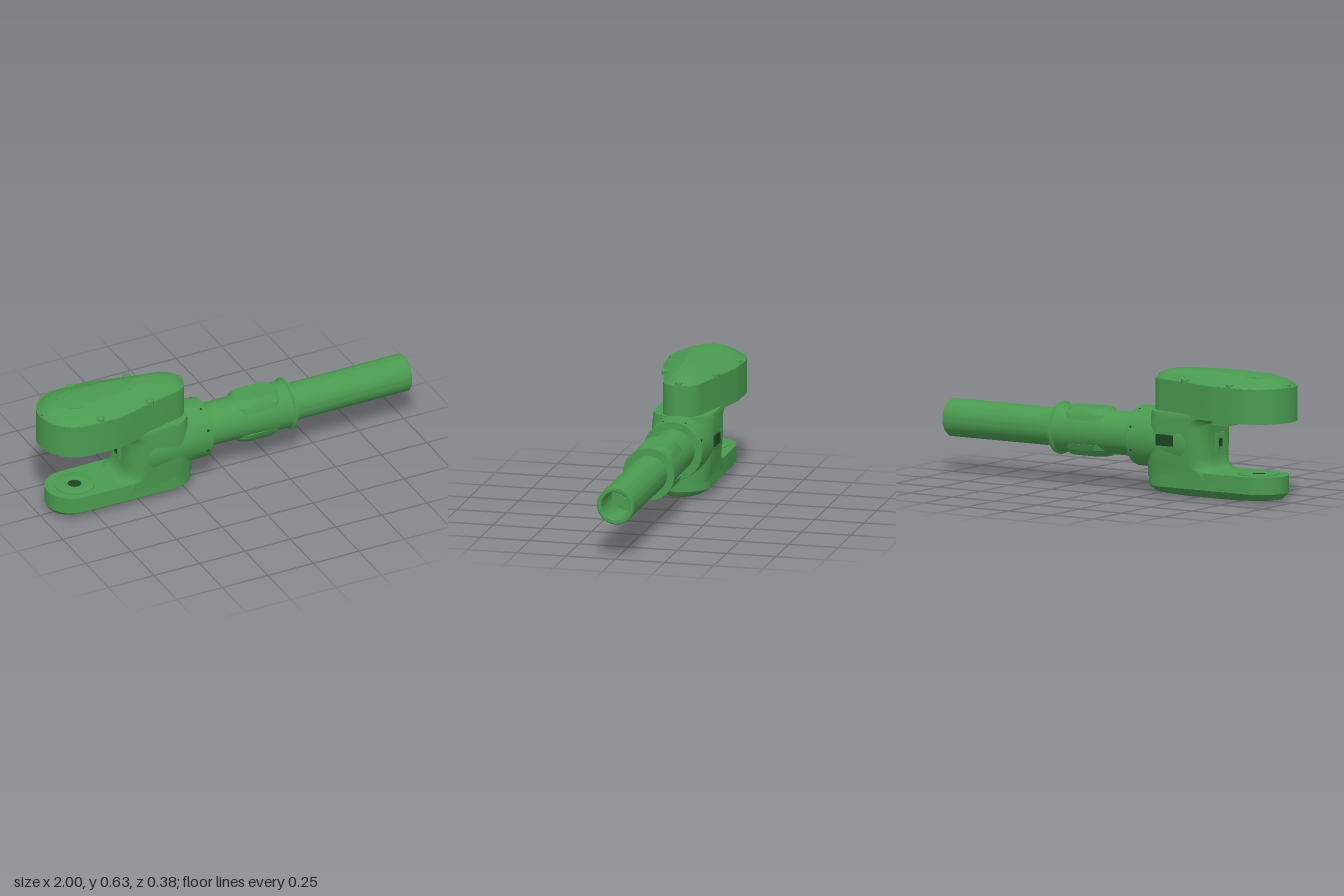
import * as THREE from 'three';
import { toCreasedNormals } from 'three/addons/utils/BufferGeometryUtils.js';

const green = new THREE.MeshStandardMaterial({ color: 0x4a9a50 });
const dark = new THREE.MeshStandardMaterial({ color: 0x1d4420 });
const AXIS_Y = 0.27; // height of the tube axis
const JOINT_X = -0.81; // position of the fork joint

// Convex plan outline around circles [x, z offset, radius], mirrored in z
function outline(circles, n = 96) {
  const pts = [];
  for (let i = 0; i < n; i++) {
    const t = ((i + 0.5) / n) * Math.PI * 2;
    const c = Math.cos(t), s = Math.sin(t);
    let best = null, top = -Infinity;
    for (const k of circles) {
      const v = k[0] * c + k[1] * Math.abs(s) + k[2];
      if (v > top) { top = v; best = k; }
    }
    pts.push([best[0] + best[2] * c, -(Math.sign(s) * best[1] + best[2] * s)]);
  }
  return pts;
}

// Scale an outline about a centre on the x axis
const scaled = (pts, cx, sx, sz) => pts.map(([x, z]) => [cx + (x - cx) * sx, z * sz]);

// Skin stacked outlines [y, points] and close both ends
function loft(levels, crease = 0.4) {
  const n = levels[0][1].length, pos = [], idx = [];
  for (const [y, pts] of levels) for (const [x, z] of pts) pos.push(x, y, z);
  for (let j = 0; j < levels.length - 1; j++) {
    for (let i = 0; i < n; i++) {
      const a = j * n + i, b = j * n + ((i + 1) % n);
      idx.push(a, b, b + n, a, b + n, a + n);
    }
  }
  [0, levels.length - 1].forEach((j, end) => {
    const [y, pts] = levels[j];
    const mid = pos.length / 3;
    pos.push(pts.reduce((s, p) => s + p[0], 0) / n, y, 0);
    for (let i = 0; i < n; i++) {
      const a = j * n + i, b = j * n + ((i + 1) % n);
      if (end) idx.push(mid, a, b);
      else idx.push(mid, b, a);
    }
  });
  const g = new THREE.BufferGeometry();
  g.setAttribute('position', new THREE.Float32BufferAttribute(pos, 3));
  g.setIndex(idx);
  return toCreasedNormals(g, crease);
}

// Turned part from [radius, height] points
function turned(points, segments = 64) {
  const g = new THREE.LatheGeometry(points.map(p => new THREE.Vector2(p[0], p[1])), segments);
  return toCreasedNormals(g, 0.4);
}

// Turned part lying along the tube axis, points are [radius, x]
const turnedX = points => turned(points).rotateZ(-Math.PI / 2).translate(0, AXIS_Y, 0);

export function createModel() {
  const model = new THREE.Group();
  const add = (name, geometry, x = 0, y = 0, z = 0, material = green) => {
    const m = new THREE.Mesh(geometry, material);
    m.name = name;
    m.position.set(x, y, z);
    model.add(m);
    return m;
  };

  // Upper fork arm and its domed lid
  const upper = outline([[JOINT_X, 0, 0.19], [-0.68, 0, 0.19], [-0.32, 0, 0.1]]);
  add('upperArm', loft([[0.4, upper], [0.572, upper]]));
  add('upperLid', loft([
    [0.565, 0.985, 0.965], [0.573, 0.985, 0.965], [0.59, 0.95, 0.81], [0.604, 0.9, 0.66],
    [0.615, 0.79, 0.49], [0.622, 0.68, 0.41], [0.627, 0.45, 0.35],
  ].map(([y, sx, sz]) => [y, scaled(upper, -0.61, sx, sz)])));
  add('lidCap', turned([[0, 0], [0.085, 0], [0.085, 0.019], [0.081, 0.021], [0, 0.021]]), JOINT_X, 0.6, 0);

  // Lid screws around the rim and two small plugs on top
  const screw = turned([[0, 0], [0.021, 0], [0.021, 0.021], [0.015, 0.026], [0, 0.026]], 24);
  for (const [x, z] of [[-0.972, 0], [-0.75, 0.163], [-0.75, -0.163], [-0.46, 0.125], [-0.46, -0.125], [-0.245, 0]]) {
    add('lidScrew', screw, x, 0.566, z);
  }
  for (const [x, z] of [[-0.56, 0.03], [-0.53, 0.045]]) {
    add('lidPlug', new THREE.CylinderGeometry(0.01, 0.01, 0.02, 16), x, 0.617, z);
  }

  // Lower fork arm with a tapered underside
  const lower = outline([[-0.825, 0, 0.135], [-0.33, 0, 0.14]]);
  add('lowerArm', loft([
    [0, 0.5, 0.5], [0.006, 0.82, 0.6], [0.014, 0.94, 0.69], [0.03, 0.98, 0.86], [0.045, 1, 1], [0.13, 1, 1],
  ].map(([y, sx, sz]) => [y, scaled(lower, -0.575, sx, sz)])));

  // Bearing rings facing each other inside the fork
  const ring = turned([[0.034, -0.01], [0.1, -0.01], [0.1, 0.004], [0.094, 0.006], [0.05, 0.006],
    [0.046, 0.003], [0.034, 0.003], [0.034, -0.01]]);
  add('lowerBearing', ring, JOINT_X, 0.13, 0);
  add('upperBearing', ring, JOINT_X, 0.4, 0).rotation.x = Math.PI;
  const bore = new THREE.CylinderGeometry(0.034, 0.034, 0.004, 32);
  add('lowerBore', bore, JOINT_X, 0.129, 0, dark);
  add('upperBore', bore, JOINT_X, 0.401, 0, dark);
  add('bottomBore', new THREE.CylinderGeometry(0.024, 0.024, 0.01, 32), JOINT_X, 0.009, 0, dark);

  // Upright body between the arms, flaring into both of them
  const section = (y, left, w, right) => [y, outline([
    [left + 0.09, w - 0.09, 0.09], [right - 0.125, w - 0.125, 0.125],
  ])];
  add('body', loft([
    section(0.085, -0.66, 0.138, -0.19), section(0.13, -0.625, 0.142, -0.19),
    section(0.142, -0.595, 0.144, -0.191), section(0.165, -0.576, 0.147, -0.193),
    section(0.2, -0.57, 0.152, -0.196), section(0.27, -0.57, 0.157, -0.2),
    section(0.345, -0.57, 0.157, -0.21), section(0.37, -0.576, 0.156, -0.215),
    section(0.39, -0.6, 0.155, -0.22), section(0.4, -0.63, 0.154, -0.22), section(0.416, -0.63, 0.15, -0.22),
  ], 0.6));
  add('bodyLedge', new THREE.BoxGeometry(0.12, 0.045, 0.14), -0.615, 0.385, 0);

  // Conical shoulder running into the collar
  add('shoulder', turnedX([[0, -0.54], [0.12, -0.54], [0.155, -0.49], [0.165, -0.45], [0.152, -0.2],
    [0.149, -0.122], [0.147, -0.118], [0.136, -0.118], [0.136, -0.124], [0, -0.124]]));

  // Collar screws on the end face and around the rim
  for (let i = 0; i < 8; i++) {
    const a = ((i + 0.5) / 8) * Math.PI * 2, c = Math.cos(a), s = Math.sin(a);
    const face = add('collarScrew', new THREE.CylinderGeometry(0.009, 0.009, 0.014, 16),
      -0.122, AXIS_Y + 0.123 * c, 0.123 * s);
    face.rotation.z = Math.PI / 2;
    const rim = add('collarPin', new THREE.CylinderGeometry(0.006, 0.006, 0.008, 12),
      -0.145, AXIS_Y + 0.147 * c, 0.147 * s, dark);
    rim.rotation.x = a;
  }

  // Rear socket in the body
  add('rearSocket', new THREE.BoxGeometry(0.1, 0.055, 0.02), -0.36, AXIS_Y + 0.01, -0.155, dark);

  // Connector on the inner face of the body
  add('connectorBase', new THREE.BoxGeometry(0.04, 0.08, 0.06), -0.563, AXIS_Y, 0);
  for (const z of [-0.026, 0.026]) add('connectorClip', new THREE.BoxGeometry(0.03, 0.1, 0.01), -0.572, AXIS_Y, z);
  add('connectorSlot', new THREE.BoxGeometry(0.01, 0.04, 0.03), -0.581, AXIS_Y, 0, dark);

  // Sleeve, widening towards the flange
  add('sleeve', turnedX([[0, -0.13], [0.108, -0.13], [0.108, 0.04], [0.113, 0.14], [0.118, 0.24],
    [0.12, 0.345], [0, 0.345]]));
  add('flange', turnedX([[0, 0.338], [0.12, 0.338], [0.131, 0.346], [0.131, 0.354], [0.1, 0.354], [0, 0.354]]));

  // Flat pads with sloped sides above and below the sleeve
  const pad = outline([[0.125, 0, 0.066], [0.225, 0, 0.066]]);
  const padGeometry = loft([[0.06, 1.25, 1.55], [0.088, 1.22, 1.4], [0.11, 1.06, 1.1], [0.117, 1, 1], [0.119, 0.98, 0.96]]
    .map(([y, sx, sz]) => [y, scaled(pad, 0.175, sx, sz)]));
  add('topPad', padGeometry, 0, AXIS_Y, 0);
  add('bottomPad', padGeometry, 0, AXIS_Y, 0).rotation.x = Math.PI;

  // Open tube with an inner stop
  add('tube', turnedX([[0.094, 0.34], [0.094, 0.996], [0.09, 1], [0.074, 1], [0.07, 0.996], [0.07, 0.8],
    [0.013, 0.8], [0.013, 0.78], [0, 0.78]]));

  return model;
}
